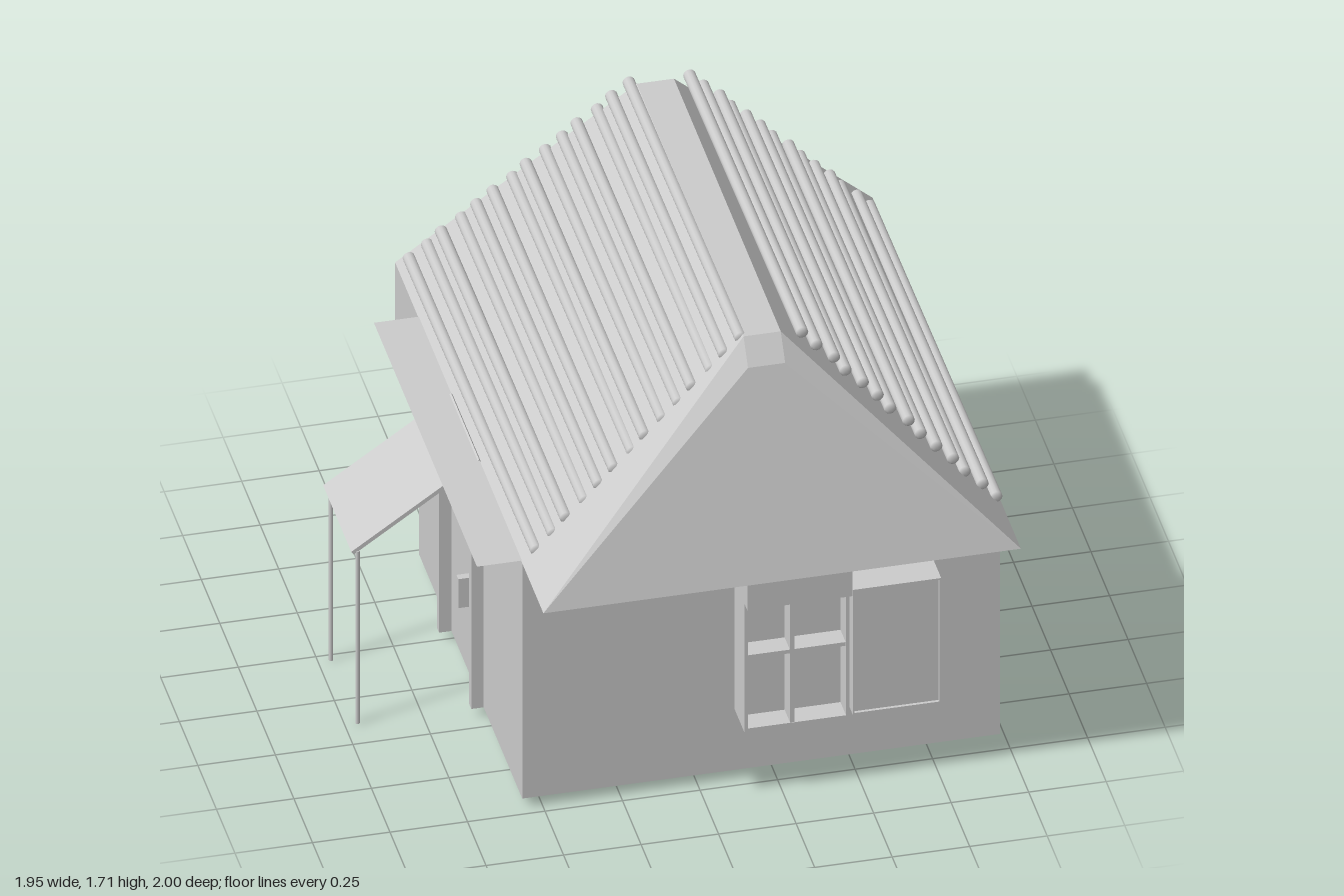
import * as THREE from 'three';
import { ConvexGeometry } from 'three/addons/geometries/ConvexGeometry.js';

export function createModel() {
  const model = new THREE.Group();
  const mat = new THREE.MeshStandardMaterial({ color: 0xcccccc, side: THREE.DoubleSide });

  const add = (name, geometry, parent = model) => {
    const mesh = new THREE.Mesh(geometry, mat);
    mesh.name = name;
    parent.add(mesh);
    return mesh;
  };
  const group = (name) => {
    const g = new THREE.Group();
    g.name = name;
    model.add(g);
    return g;
  };
  // Box given by its minimum and maximum on each axis
  const box = (name, [x0, x1], [y0, y1], [z0, z1], parent) => {
    const mesh = add(name, new THREE.BoxGeometry(x1 - x0, y1 - y0, z1 - z0), parent);
    mesh.position.set((x0 + x1) / 2, (y0 + y1) / 2, (z0 + z1) / 2);
    return mesh;
  };

  const left = -0.565, right = 0.975, mid = 0.205, eaveY = 0.93, wallZ = 0.715;

  // Walls: side profile with the jettied upper back, extruded across the width
  const profile = [[wallZ, 0.035], [wallZ, eaveY], [-1, eaveY], [-1, 0.53], [-0.675, 0.53], [-0.675, 0.035]];
  const wallShape = new THREE.Shape(profile.map(([z, y]) => new THREE.Vector2(-z, y)));
  const wallGeo = new THREE.ExtrudeGeometry(wallShape, { depth: right - left, bevelEnabled: false });
  wallGeo.rotateY(Math.PI / 2).translate(left, 0, 0);
  add('walls', wallGeo);

  // Roof: steep hipped ends, narrow flat ridge with chamfered tips
  const roofPoints = [];
  for (const s of [-1, 1]) {
    for (const [half, y, z] of [
      [0.77, eaveY, 1], [0.06, 1.61, 0.79], [0.06, 1.69, 0.73],
      [0.77, eaveY, -1], [0.06, 1.61, -0.775], [0.06, 1.69, -0.71],
    ]) roofPoints.push(new THREE.Vector3(mid + s * half, y, z));
  }
  add('roof', new ConvexGeometry(roofPoints));

  // Flat eave sheet along the left-hand wall
  const sheet = add('eaveSheet', new THREE.PlaneGeometry(0.145, 1.39).rotateX(-Math.PI / 2));
  sheet.position.set(-0.6375, 0.937, 0.015);

  // Roof poles: slightly uneven rods with rounded ends
  const rod = (name, a, b, r, parent) => {
    const len = a.distanceTo(b), e = r * 0.35;
    const pts = [[0, 0], [r * 0.65, 0], [r, e], [r, len - e], [r * 0.65, len], [0, len]]
      .map(([x, y]) => new THREE.Vector2(x, y));
    const mesh = add(name, new THREE.LatheGeometry(pts, 12), parent);
    mesh.position.copy(a);
    mesh.quaternion.setFromUnitVectors(new THREE.Vector3(0, 1, 0), b.clone().sub(a).normalize());
  };
  const poles = group('roofPoles');
  const sides = [
    { from: [-0.525, 0.972], to: [0.135, 1.675], front: 0.72, back: [-0.965, -0.755], skew: -0.012 },
    { from: [0.95, 0.962], to: [0.325, 1.688], front: 0.755, back: [-0.925, -0.73], skew: -0.012 },
  ];
  const count = 14;
  for (const { from, to, front, back, skew } of sides) {
    for (let i = 0; i < count; i++) {
      const t = i / (count - 1), lerp = THREE.MathUtils.lerp;
      const wobble = 0.006 * Math.sin(i * 2.4);
      const x = lerp(from[0], to[0], t) + wobble, y = lerp(from[1], to[1], t);
      rod('roofPole', new THREE.Vector3(x - skew / 2, y, front),
        new THREE.Vector3(x + skew / 2, y, lerp(back[0], back[1], t)), 0.02, poles);
    }
  }

  // Front window: frame, glazing bars, pane and head box
  const win = group('window');
  const fz = [wallZ, 0.845];
  for (const x of [0.12, 0.448]) box('windowJamb', [x, x + 0.012], [0.265, 0.755], fz, win);
  for (const y of [0.265, 0.743]) box('windowRail', [0.132, 0.448], [y, y + 0.012], fz, win);
  box('windowMullion', [0.268, 0.282], [0.277, 0.743], [0.76, 0.843], win);
  box('windowTransom', [0.132, 0.448], [0.538, 0.552], [0.76, 0.84], win);
  box('windowPane', [0.132, 0.448], [0.277, 0.743], [wallZ, 0.77], win);
  box('windowHead', [0.12, 0.46], [0.755, 0.85], [wallZ, 0.885], win);

  // Shutter beside the window, with a thin raised rim
  const shutter = group('shutter');
  box('shutterPanel', [0.476, 0.749], [0.281, 0.744], [wallZ, 0.835], shutter);
  for (const x of [0.47, 0.749]) box('shutterStile', [x, x + 0.006], [0.275, 0.75], fz, shutter);
  for (const y of [0.275, 0.744]) box('shutterRail', [0.476, 0.749], [y, y + 0.006], fz, shutter);

  // Side door: frame on the wall, and handle
  const door = group('door');
  const dx = [-0.605, left];
  for (const z of [-0.27, 0.165]) box('doorJamb', dx, [0.035, 0.89], [z, z + 0.03], door);
  box('doorHead', dx, [0.86, 0.89], [-0.24, 0.165], door);
  box('doorHandle', [-0.635, left], [0.39, 0.5], [0.12, 0.145], door);

  // Lean-to canopy on two slim posts
  const porch = group('porch');
  const outer = new THREE.Vector2(-0.975, 0.65), inner = new THREE.Vector2(-0.562, 0.935);
  const run = inner.clone().sub(outer);
  const canopy = add('canopy', new THREE.BoxGeometry(run.length(), 0.014, 0.38), porch);
  canopy.position.set((outer.x + inner.x) / 2, (outer.y + inner.y) / 2, -0.05);
  canopy.rotation.z = run.angle();
  for (const z of [-0.222, 0.137]) {
    const post = add('canopyPost', new THREE.CylinderGeometry(0.007, 0.007, 0.655, 10), porch);
    post.position.set(-0.958, 0.3275, z);
  }

  return model;
}
